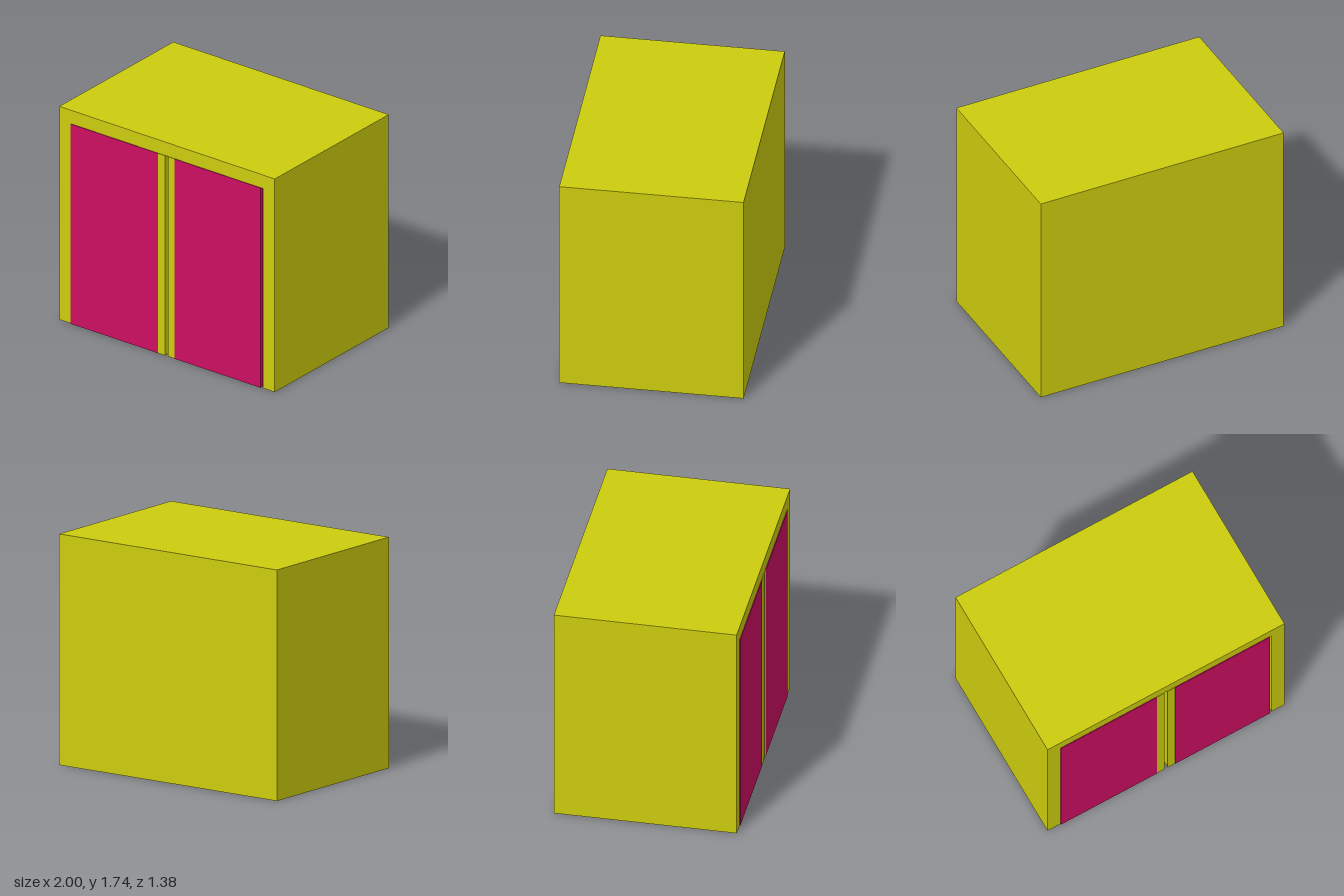
import * as THREE from 'three';

const W = 1, H = 1.74, BACK = -0.688, FRONT = 0.682; // outer shell
const T = 0.11, INNER = W - T, TOP = H - T;          // wall thickness and opening

export function createModel() {
  const model = new THREE.Group();
  const yellow = new THREE.MeshStandardMaterial({ color: 0xcccc0e });
  const magenta = new THREE.MeshStandardMaterial({ color: 0xcc0e62 });

  const box = (name, material, x0, x1, y0, y1, z0, z1, parent) => {
    const mesh = new THREE.Mesh(new THREE.BoxGeometry(x1 - x0, y1 - y0, z1 - z0), material);
    mesh.position.set((x0 + x1) / 2, (y0 + y1) / 2, (z0 + z1) / 2);
    mesh.name = name;
    parent.add(mesh);
  };

  // Side walls and roof: one arch, open at the front and underneath
  const arch = new THREE.Shape([
    [-W, 0], [-INNER, 0], [-INNER, TOP], [INNER, TOP],
    [INNER, 0], [W, 0], [W, H], [-W, H],
  ].map(([x, y]) => new THREE.Vector2(x, y)));
  const shell = new THREE.Mesh(
    new THREE.ExtrudeGeometry(arch, { depth: FRONT - BACK - T, bevelEnabled: false }), yellow);
  shell.position.z = BACK + T;
  shell.name = 'wallsAndRoof';
  model.add(shell);

  box('backWall', yellow, -W, W, 0, H, BACK, BACK + T, model);

  // Double doors: panel plus a narrow meeting stile, with a slit between them
  const doors = [
    { name: 'rightDoor', panel: [-INNER, -0.08], stile: [-0.08, -0.015] },
    { name: 'leftDoor', panel: [0.075, 0.875], stile: [0.012, 0.075] },
  ];
  for (const { name, panel, stile } of doors) {
    const door = new THREE.Group();
    door.name = name;
    box('doorPanel', magenta, ...panel, 0, TOP, FRONT - T + 0.006, FRONT + 0.006, door);
    box('meetingStile', yellow, ...stile, 0, TOP, FRONT - T + 0.004, FRONT + 0.004, door);
    model.add(door);
  }
  return model;
}
